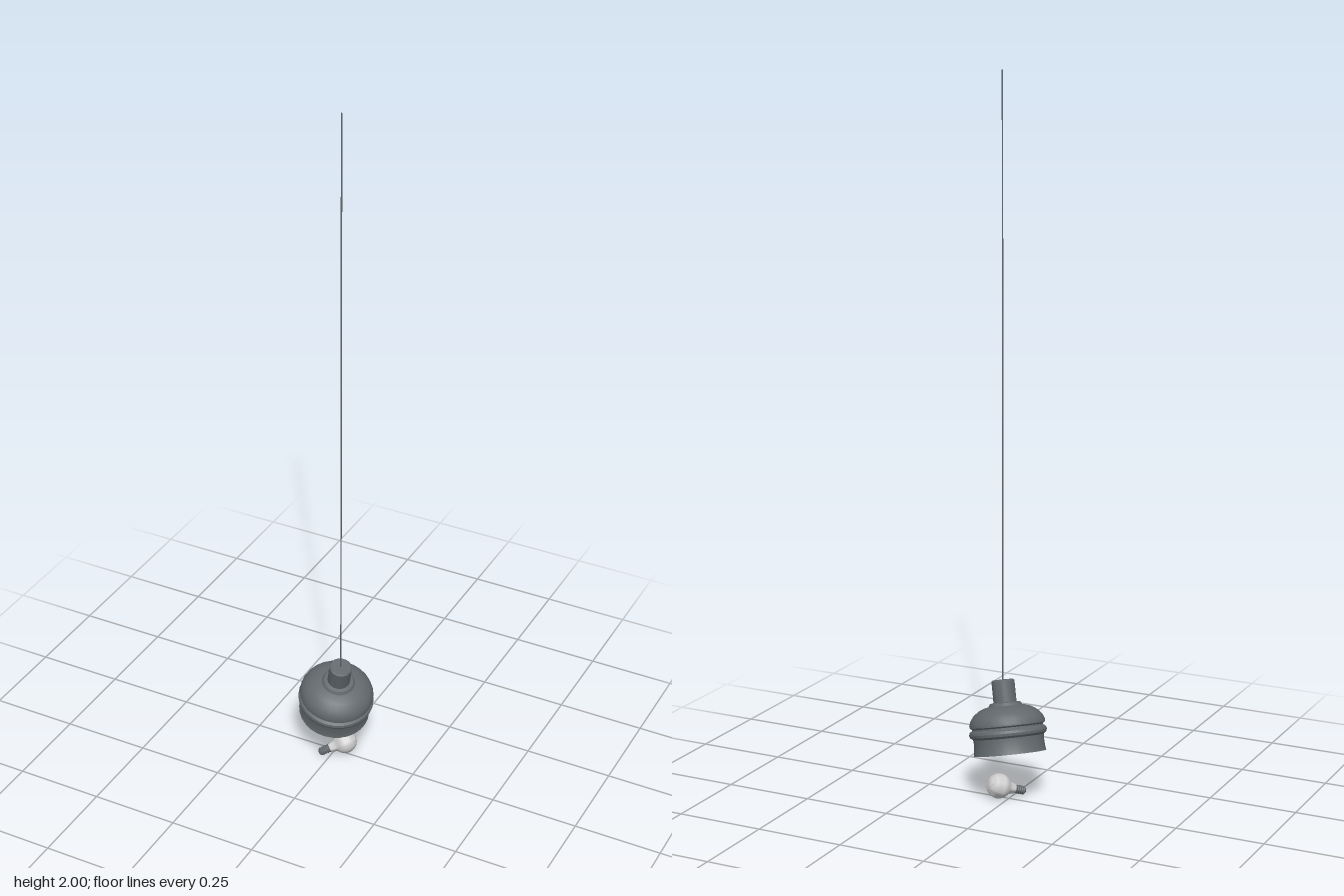
import * as THREE from 'three';
import { toCreasedNormals } from 'three/addons/utils/BufferGeometryUtils.js';

const UP = new THREE.Vector3(0, 1, 0);
const metal = new THREE.MeshStandardMaterial({ color: 0x62686c, side: THREE.DoubleSide });
const grey = new THREE.MeshStandardMaterial({ color: 0xcccccc });

// Turned part from [radius, height] pairs running bottom to top
function turned(name, profile, sides, material, crease = 0.5) {
  const points = profile.map(([r, y]) => new THREE.Vector2(r, y));
  const geometry = toCreasedNormals(new THREE.LatheGeometry(points, sides), crease);
  const mesh = new THREE.Mesh(geometry, material);
  mesh.name = name;
  return mesh;
}

export function createModel() {
  const model = new THREE.Group();
  model.name = 'pendantLamp';

  // Shade hangs tilted from the cord; its origin is the top of the cap
  const lamp = new THREE.Group();
  lamp.name = 'tiltedLamp';
  lamp.position.set(0.036, 0.332, 0.035);
  lamp.quaternion.setFromUnitVectors(UP, new THREE.Vector3(0.23, 1, 0.23).normalize());
  model.add(lamp);

  lamp.add(turned('cap', [
    [0.032, -0.066], [0.032, -0.004], [0.028, 0], [0, 0],
  ], 24, metal));

  // Open bell with two grooves and a slightly flared rim
  lamp.add(turned('shade', [
    [0.101, -0.203], [0.099, -0.197], [0.097, -0.168], [0.098, -0.158],
    [0.106, -0.152], [0.108, -0.145], [0.106, -0.138], [0.099, -0.133],
    [0.099, -0.129], [0.105, -0.125], [0.105, -0.118], [0.1, -0.105],
    [0.09, -0.092], [0.073, -0.08], [0.06, -0.075], [0.047, -0.072],
    [0.042, -0.064], [0.031, -0.062],
  ], 28, metal));

  // Cord
  const cord = new THREE.Mesh(new THREE.CylinderGeometry(0.002, 0.002, 1.668, 8), metal);
  cord.name = 'cord';
  cord.position.set(0.036, 1.166, 0.035);
  model.add(cord);

  // Loose bulb lying on the ground, screw base pointing along -y locally
  const bulb = new THREE.Group();
  bulb.name = 'bulb';
  const centre = new THREE.Vector3(0.027, 0.037, -0.008);
  const baseEnd = new THREE.Vector3(-0.028, 0.014, 0.046);
  bulb.position.copy(centre);
  bulb.quaternion.setFromUnitVectors(UP, centre.clone().sub(baseEnd).normalize());
  model.add(bulb);

  const R = 0.035;
  const glass = [[0.012, -0.05], [0.015, -0.042]];
  for (let i = 0; i <= 12; i++) {
    const a = -1.05 + (i / 12) * (1.05 + Math.PI / 2);
    glass.push([i === 12 ? 0 : R * Math.cos(a), R * Math.sin(a)]);
  }
  bulb.add(turned('glass', glass, 24, grey, 0.8));

  // Threaded base
  const thread = [[0, -0.082], [0.006, -0.081], [0.011, -0.076]];
  for (let i = 0; i < 4; i++) {
    const y = -0.074 + i * 0.006;
    thread.push([0.0125, y], [0.011, y + 0.003]);
  }
  thread.push([0.0125, -0.049]);
  bulb.add(turned('screwBase', thread, 20, metal));

  return model;
}
